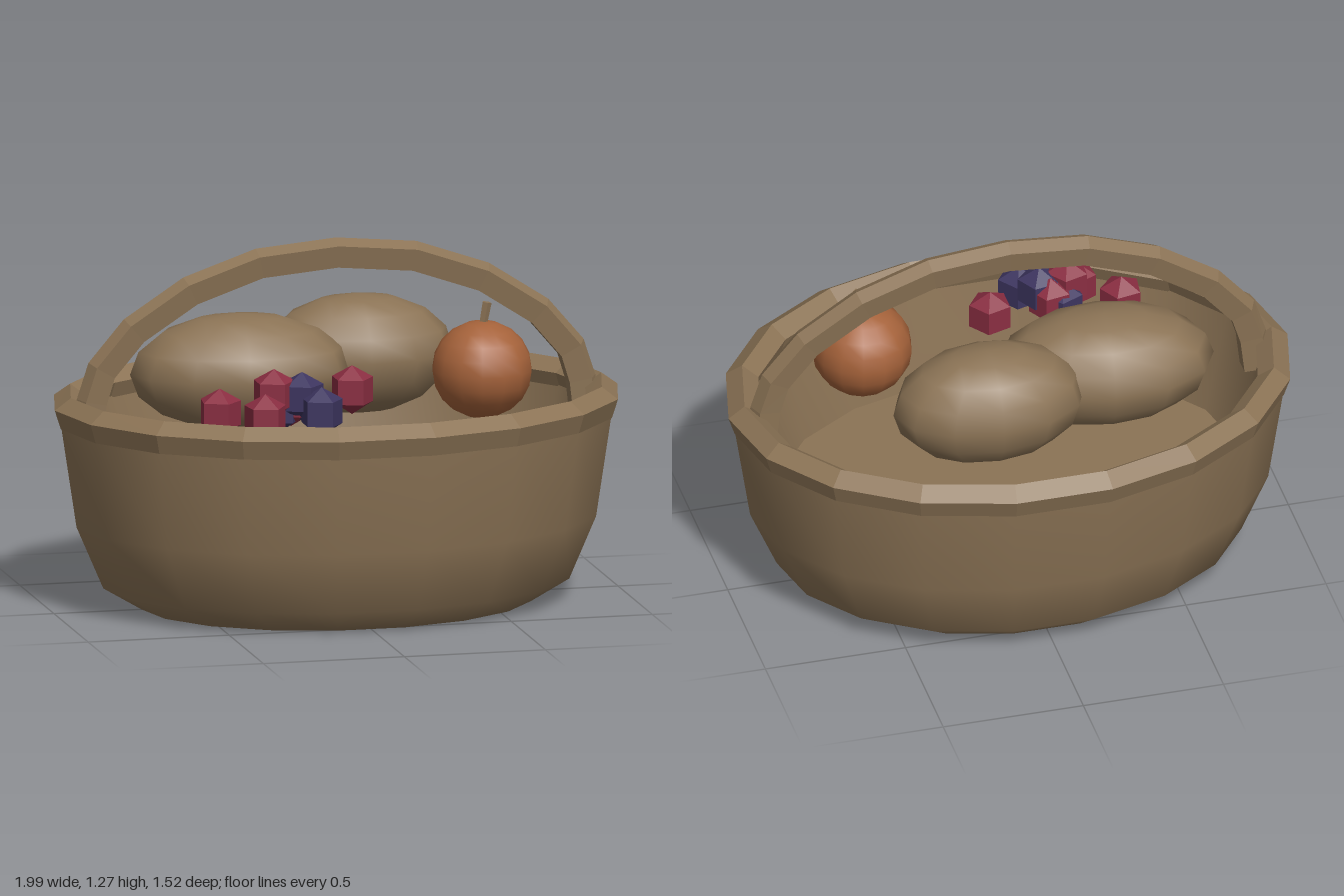
import * as THREE from 'three';
import { toCreasedNormals } from 'three/addons/utils/BufferGeometryUtils.js';

const material = (name, color) => {
  const m = new THREE.MeshStandardMaterial({ color });
  m.name = name;
  return m;
};

// Give every face its own normal
function flat(geometry) {
  const g = geometry.index ? geometry.toNonIndexed() : geometry;
  g.computeVertexNormals();
  return g;
}

// Skin a list of equal-length cross-section rings
function skin(rings, closed) {
  const n = rings[0].length;
  const index = [];
  const last = closed ? rings.length : rings.length - 1;
  for (let i = 0; i < last; i++) {
    for (let j = 0; j < n; j++) {
      const a = i * n + j;
      const b = i * n + (j + 1) % n;
      const k = ((i + 1) % rings.length) * n;
      const c = k + (j + 1) % n;
      const d = k + j;
      index.push(a, b, c, a, c, d);
    }
  }
  const g = new THREE.BufferGeometry().setFromPoints(rings.flat());
  g.setIndex(index);
  return flat(g);
}

export function createModel() {
  const model = new THREE.Group();
  model.name = 'fruitBasket';
  const wicker = material('wicker brown', 0x8b7355);
  const orange = material('fruit orange', 0xa5623a);
  const red = material('berry red', 0x8b2e42);
  const purple = material('berry purple', 0x3d3560);

  const add = (name, geometry, mat, position = [0, 0, 0]) => {
    const mesh = new THREE.Mesh(geometry, mat);
    mesh.name = name;
    mesh.position.set(...position);
    model.add(mesh);
    return mesh;
  };

  // Oval basket: smooth outer shell and a creased inner lining
  const SIDES = 18, OVAL = 0.755;
  const lathe = (points) => new THREE.LatheGeometry(
    points.map(([x, y]) => new THREE.Vector2(x, y)), SIDES, Math.PI / 2).scale(1, 1, OVAL);
  add('basketShell', lathe([[0, 0], [0.69, 0], [0.825, 0.08], [0.92, 0.3], [0.975, 0.66]]), wicker);
  add('basketLining', toCreasedNormals(lathe([[0.9, 0.68], [0.81, 0.3], [0, 0.3]]), 0.6), wicker);

  // Rim: pentagonal section, ridge upward, swept round the oval
  const rimRings = [];
  for (let i = 0; i < SIDES; i++) {
    const a = i / SIDES * Math.PI * 2;
    const out = new THREE.Vector3(Math.cos(a) * OVAL, 0, Math.sin(a)).normalize();
    const ring = [];
    for (let j = 0; j < 5; j++) {
      const b = Math.PI / 2 + j / 5 * Math.PI * 2;
      ring.push(new THREE.Vector3(0.94 * Math.cos(a), 0.695 + 0.06 * Math.sin(b), 0.713 * Math.sin(a))
        .addScaledVector(out, 0.06 * Math.cos(b)));
    }
    rimRings.push(ring);
  }
  add('rim', skin(rimRings, true), wicker);

  // Handle: ridged section along a mirrored arch
  const half = [[0.885, 0.61], [0.87, 0.74], [0.835, 0.85], [0.72, 0.985], [0.52, 1.115], [0.275, 1.2]];
  const arch = [...half, [0, 1.225], ...half.slice().reverse().map(([x, y]) => [-x, y])];
  const section = [[0.05, 0], [0.027, -0.045], [-0.05, -0.033], [-0.05, 0.033], [0.027, 0.045]];
  const handleRings = arch.map(([x, y], i) => {
    const p = arch[Math.max(i - 1, 0)];
    const q = arch[Math.min(i + 1, arch.length - 1)];
    const out = new THREE.Vector3(q[1] - p[1], p[0] - q[0], 0).normalize();
    return section.map(([o, z]) => new THREE.Vector3(x, y, z).addScaledVector(out, o));
  });
  add('handle', skin(handleRings, false), wicker);

  // Two loaves
  const loaf = (rx, ry, rz) =>
    new THREE.SphereGeometry(1, 12, 8).scale(rx, ry, rz);
  add('frontLoaf', loaf(0.385, 0.205, 0.235), wicker, [-0.31, 0.795, -0.12]).rotation.y = -0.08;
  add('backLoaf', loaf(0.34, 0.21, 0.215), wicker, [0.14, 0.81, -0.265]);

  // Round fruit with a leaning stem
  add('orangeFruit', new THREE.SphereGeometry(0.175, 14, 10).scale(1, 0.97, 1), orange, [0.48, 0.82, 0.155]);
  add('fruitStem', flat(new THREE.CylinderGeometry(0.017, 0.014, 0.1, 5)), wicker, [0.488, 1.005, 0.155])
    .rotation.z = -0.18;

  // Faceted berries: material, x, y, z
  const berry = flat(new THREE.SphereGeometry(0.086, 5, 3));
  const berries = [
    [red, -0.49, 0.745, 0.32],
    [red, -0.31, 0.815, 0.37],
    [red, -0.36, 0.745, 0.45],
    [red, -0.24, 0.775, 0.33],
    [red, -0.01, 0.795, 0.275],
    [purple, -0.28, 0.755, 0.33],
    [purple, -0.21, 0.8, 0.37],
    [purple, -0.16, 0.76, 0.45],
  ];
  berries.forEach(([mat, x, y, z], i) => {
    add('berry' + (i + 1), berry, mat, [x, y, z]).rotation.y = Math.PI + (i % 3 - 1) * 0.12;
  });

  return model;
}
